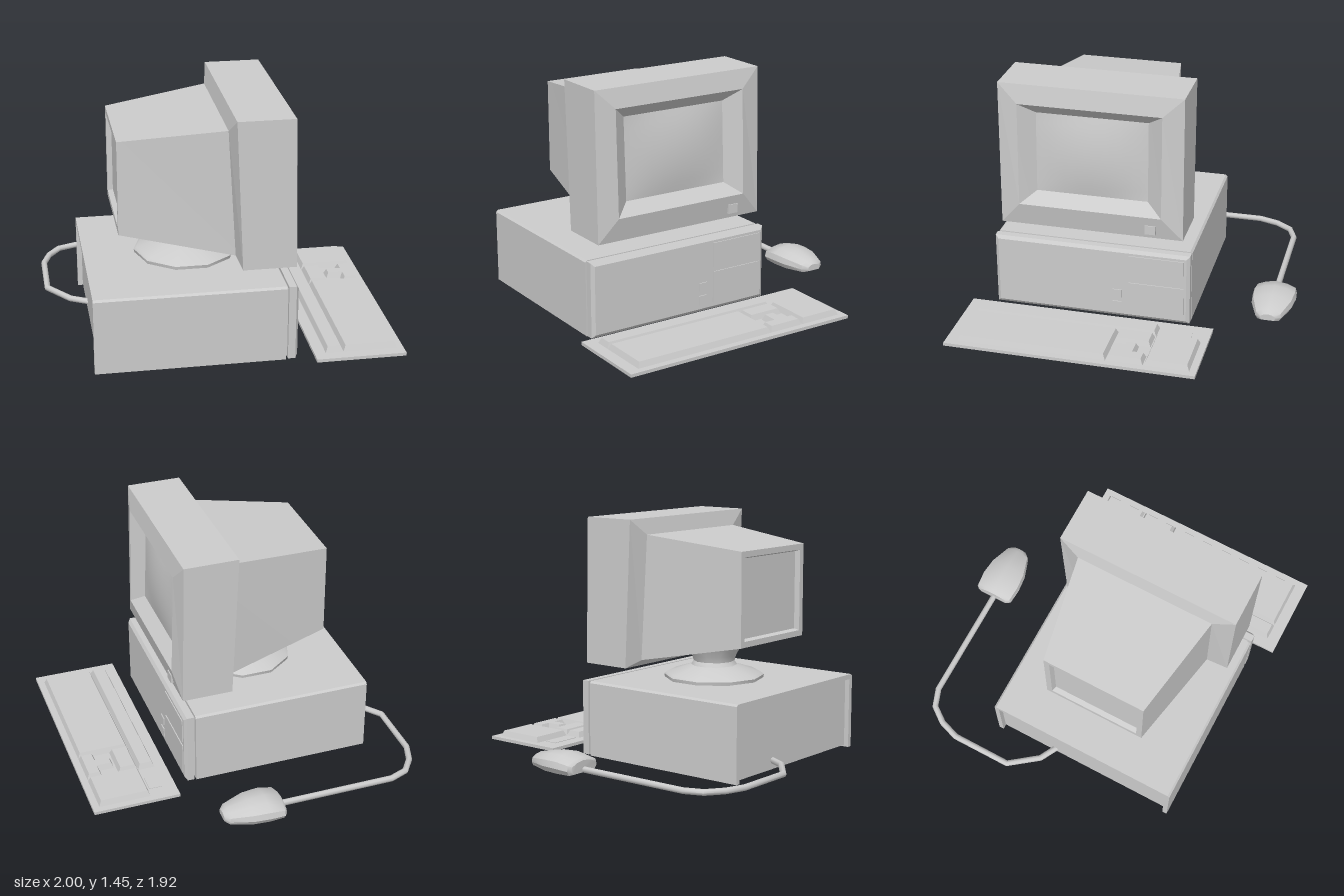
import * as THREE from 'three';
import { toCreasedNormals } from 'three/addons/utils/BufferGeometryUtils.js';

const material = new THREE.MeshStandardMaterial({ color: 0xcccccc });

// Skin a row of rings; each ring runs counter-clockwise seen from the end of the row
function loft(rings, crease = 0.3, capStart = true, capEnd = true) {
  const pos = [];
  const tri = (...pts) => pts.forEach((p) => pos.push(...p));
  const n = rings[0].length;
  for (let i = 0; i < rings.length - 1; i++) {
    for (let j = 0; j < n; j++) {
      const k = (j + 1) % n;
      const a = rings[i][j], b = rings[i][k], c = rings[i + 1][k], d = rings[i + 1][j];
      tri(a, b, c);
      tri(a, c, d);
    }
  }
  const first = rings[0], last = rings[rings.length - 1];
  for (let j = 1; j < n - 1; j++) {
    if (capStart) tri(first[0], first[j + 1], first[j]);
    if (capEnd) tri(last[0], last[j], last[j + 1]);
  }
  const g = new THREE.BufferGeometry();
  g.setAttribute('position', new THREE.Float32BufferAttribute(pos, 3));
  return toCreasedNormals(g, crease);
}

// Rectangle facing +x, leaning from xTop to xBottom
const rectX = (xTop, xBottom, y0, y1, z0, z1) =>
  [[xBottom, y0, z0], [xTop, y1, z0], [xTop, y1, z1], [xBottom, y0, z1]];
// Rectangle facing +y
const rectY = (y, x0, x1, z0, z1) => [[x1, y, z1], [x1, y, z0], [x0, y, z0], [x0, y, z1]];

function add(parent, name, geometry) {
  const mesh = new THREE.Mesh(geometry, material);
  mesh.name = name;
  parent.add(mesh);
  return mesh;
}

function addBox(parent, name, x0, x1, y0, y1, z0, z1) {
  const mesh = add(parent, name, new THREE.BoxGeometry(x1 - x0, y1 - y0, z1 - z0));
  mesh.position.set((x0 + x1) / 2, (y0 + y1) / 2, (z0 + z1) / 2);
}

function group(parent, name) {
  const g = new THREE.Group();
  g.name = name;
  parent.add(g);
  return g;
}

function buildCase(root) {
  const g = group(root, 'computerCase');
  // Folded cover: an upside-down U with chamfered upper edges, in (-z, y)
  const s = new THREE.Shape();
  const outline = [[-0.83, 0], [-0.8, 0], [-0.8, 0.43], [0.34, 0.43], [0.34, 0], [0.37, 0],
    [0.37, 0.448], [0.358, 0.46], [-0.818, 0.46], [-0.83, 0.448]];
  s.setFromPoints(outline.map(([x, y]) => new THREE.Vector2(x, y)));
  const cover = new THREE.ExtrudeGeometry(s, { depth: 1.1, bevelEnabled: false });
  cover.rotateY(Math.PI / 2);
  cover.translate(-0.78, 0, 0);
  add(g, 'caseCover', cover);
  addBox(g, 'caseChassis', -0.75, 0.34, 0.01, 0.44, -0.345, 0.805);

  // Front bezel with bevelled rim
  add(g, 'caseBezel', loft([
    rectX(0.332, 0.332, 0.005, 0.46, -0.37, 0.83),
    rectX(0.375, 0.375, 0.005, 0.46, -0.37, 0.83),
    rectX(0.39, 0.39, 0.025, 0.44, -0.35, 0.81),
  ]));
  // Drive bays and buttons
  for (const [y0, y1] of [[0.05, 0.245], [0.275, 0.425]]) {
    addBox(g, 'driveBay', 0.37, 0.396, y0, y1, -0.335, 0);
  }
  for (const [y0, y1] of [[0.05, 0.11], [0.14, 0.19]]) {
    addBox(g, 'caseButton', 0.37, 0.396, y0, y1, 0.045, 0.1);
  }
}

function buildMonitor(root) {
  const g = group(root, 'monitor');
  // Swivel stand with ten sides
  const profile = [[0.001, 0.455], [0.3, 0.455], [0.305, 0.48], [0.29, 0.492], [0.14, 0.54],
    [0.125, 0.565], [0.135, 0.6], [0.18, 0.68], [0.001, 0.7]];
  const stand = new THREE.LatheGeometry(
    profile.map(([r, y]) => new THREE.Vector2(r, y)), 10, Math.PI / 2);
  add(g, 'swivelStand', toCreasedNormals(stand, 0.65)).position.set(-0.175, 0, 0.215);

  // Housing from the recessed back panel to the recessed screen opening
  add(g, 'monitorHousing', loft([
    rectX(-0.57, -0.57, 0.765, 1.235, -0.045, 0.495),
    rectX(-0.6, -0.6, 0.755, 1.245, -0.055, 0.505),
    rectX(-0.6, -0.6, 0.72, 1.28, -0.09, 0.54),
    rectX(0.01, 0.055, 0.595, 1.35, -0.2, 0.65),
    rectX(0.035, 0.075, 0.56, 1.445, -0.325, 0.78),
    rectX(0.365, 0.382, 0.56, 1.445, -0.325, 0.78),
    rectX(0.39, 0.41, 0.7, 1.33, -0.2, 0.66),
    rectX(0.32, 0.34, 0.77, 1.26, -0.105, 0.568),
  ], 0.05, true, false));

  // Slightly domed screen
  const screen = new THREE.PlaneGeometry(0.673, 0.49, 8, 8);
  screen.rotateY(Math.PI / 2);
  const p = screen.attributes.position;
  for (let i = 0; i < p.count; i++) {
    const u = p.getZ(i) / 0.3365, v = p.getY(i) / 0.245;
    p.setX(i, 0.33 - 0.01 * v + 0.03 * (1 - u * u) * (1 - v * v));
  }
  screen.computeVertexNormals();
  add(g, 'screen', screen).position.set(0, 1.015, 0.2315);
  addBox(g, 'powerButton', 0.36, 0.405, 0.59, 0.645, -0.165, -0.1);
}

function buildKeyboard(root) {
  const g = group(root, 'keyboard');
  addBox(g, 'keyboardBase', 0.475, 1, 0.033, 0.052, -0.535, 0.955);
  // Sloped key blocks: x0, x1, z0, z1
  const blocks = {
    functionKeys: [0.54, 0.645, -0.23, 0.885],
    mainKeys: [0.645, 0.96, -0.005, 0.885],
    numberKeys: [0.645, 0.96, -0.495, -0.23],
    editingKeys: [0.645, 0.765, -0.225, -0.005],
    upArrowKey: [0.775, 0.9, -0.16, -0.075],
    arrowKeys: [0.865, 0.96, -0.225, -0.005],
  };
  const b = 0.015;
  for (const [name, [x0, x1, z0, z1]] of Object.entries(blocks)) {
    add(g, name, loft([
      rectY(0.05, x0, x1, z0, z1),
      rectY(0.085, x0 + b, x1 - b, z0 + b, z1 - b),
    ]));
  }
  addBox(g, 'indicatorPanel', 0.555, 0.635, 0.05, 0.055, -0.43, -0.24);
}

function buildMouse(root) {
  const g = group(root, 'mouse');
  // Cross-section in (half width, height share), scaled along the body
  const section = [[-0.85, 0], [-1, 0.3], [-0.93, 0.65], [-0.5, 0.9], [0, 1],
    [0.5, 0.9], [0.93, 0.65], [1, 0.3], [0.85, 0]];
  const stations = [[-0.045, 0.105, 0.05, 0.12], [-0.03, 0.125, 0.045, 0.135], [0.06, 0.133, 0.045, 0.155],
    [0.16, 0.123, 0.045, 0.15], [0.29, 0.078, 0.05, 0.12], [0.317, 0.045, 0.06, 0.1]];
  add(g, 'mouseBody', loft(stations.map(([x, w, y0, y1]) =>
    section.map(([s, t]) => [x, y0 + t * (y1 - y0), -0.83 + s * w])), 0.7));

  // Cable with mitred bends, running from the mouse to the back of the case
  const path = [[-0.74, 0.03], [-0.85, -0.03], [-0.98, -0.2], [-0.98, -0.57], [-0.94, -0.69],
    [-0.87, -0.785], [-0.76, -0.826], [-0.03, -0.826]].map(([x, z]) => new THREE.Vector2(x, z));
  const rings = path.map((pt, i) => {
    const before = pt.clone().sub(path[Math.max(i - 1, 0)]).normalize();
    const after = path[Math.min(i + 1, path.length - 1)].clone().sub(pt).normalize();
    const dir = before.add(after).normalize();
    return Array.from({ length: 8 }, (_, j) => {
      const a = (j / 8) * Math.PI * 2, side = 0.019 * Math.cos(a);
      return [pt.x + dir.y * side, 0.063 + 0.019 * Math.sin(a), pt.y - dir.x * side];
    });
  });
  add(g, 'mouseCable', loft(rings, 0.9));
}

export function createModel() {
  const root = new THREE.Group();
  root.name = 'desktopComputer';
  buildCase(root);
  buildMonitor(root);
  buildKeyboard(root);
  buildMouse(root);
  return root;
}
